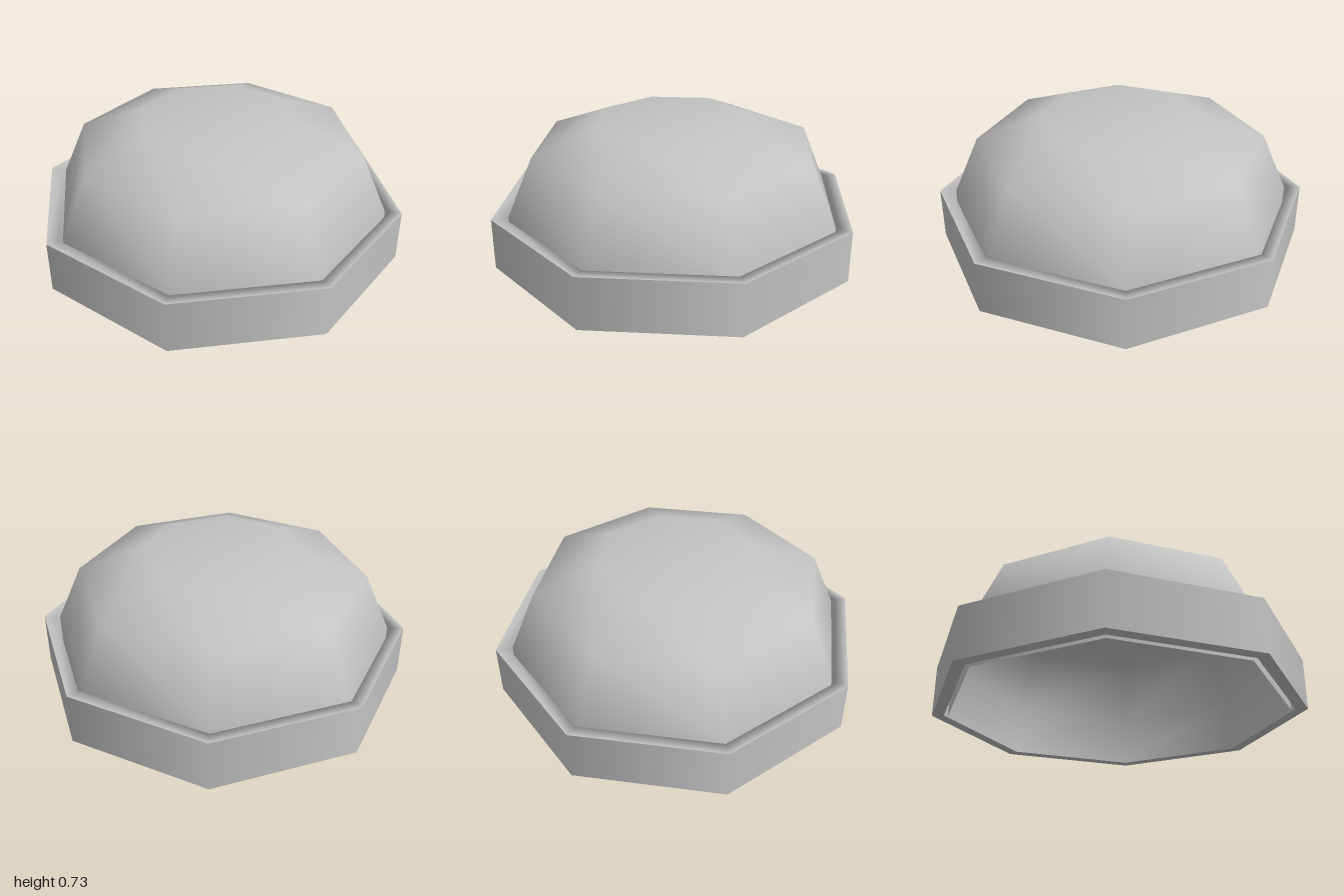
import * as THREE from 'three';

export function createModel() {
  const model = new THREE.Group();
  model.name = 'octagonalDomeLamp';

  const grey = new THREE.MeshStandardMaterial({ color: 0xc4c4c4, side: THREE.DoubleSide });
  grey.name = 'light grey';

  // Eight-sided surface of revolution, smooth along its profile of [radius, height] points
  const turned = (name, profile, parent) => {
    const points = profile.map(([r, y]) => new THREE.Vector2(r, y));
    const mesh = new THREE.Mesh(new THREE.LatheGeometry(points, 8), grey);
    mesh.name = name;
    parent.add(mesh);
  };

  // Collar: a thin band standing clear of the dome
  const collar = new THREE.Group();
  collar.name = 'collar';
  model.add(collar);
  const outer = 1, inner = 0.935, low = 0.005, high = 0.285;
  turned('collarOuterWall', [[outer, low], [outer, high]], collar);
  turned('collarRimAndInnerWall', [[outer, high], [inner, high], [inner, low]], collar);
  turned('collarUnderside', [[inner, low], [outer, low]], collar);

  // Dome: a hollow shell, open below, with a flat top
  turned('dome', [[0.912, 0], [0.912, 0.285], [0.77, 0.602], [0.43, 0.733], [0, 0.733]], model);

  return model;
}
